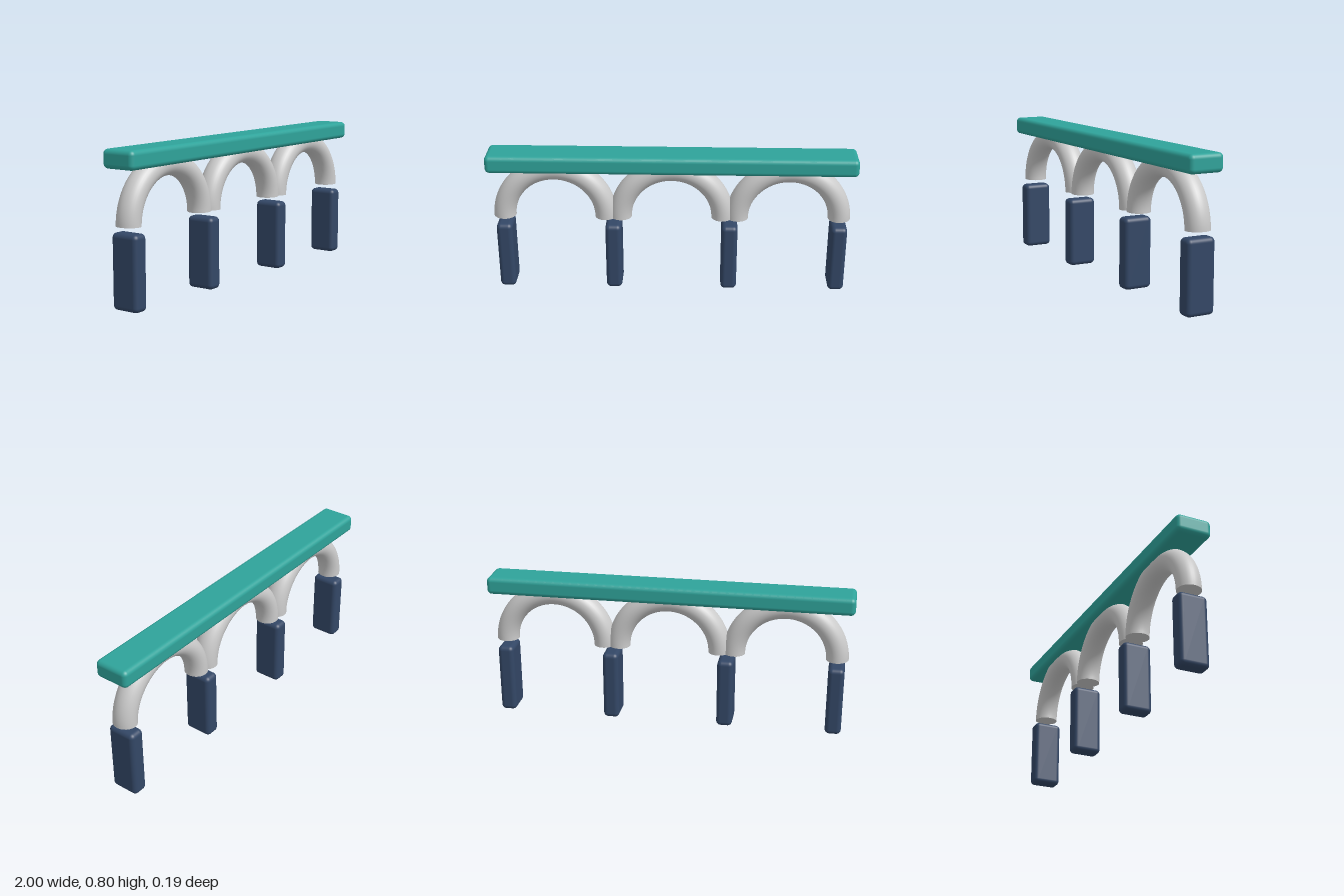
import * as THREE from 'three';
import { RoundedBoxGeometry } from 'three/addons/geometries/RoundedBoxGeometry.js';

const grey = new THREE.MeshStandardMaterial({ color: 0xcccccc });
const teal = new THREE.MeshStandardMaterial({ color: 0x2fa39a });
const navy = new THREE.MeshStandardMaterial({ color: 0x334766 });

const ARCH_R = 0.28, TUBE_R = 0.061, SPRING_Y = 0.42, STEPS = 48;

function addMesh(parent, name, geometry, material, x = 0, y = 0) {
  const mesh = new THREE.Mesh(geometry, material);
  mesh.name = name;
  mesh.position.set(x, y, 0);
  parent.add(mesh);
  return mesh;
}

// Half-circle tube with closed feet, slightly deeper than wide
function makeArch(x) {
  const arch = new THREE.Group();
  arch.name = 'arch';
  const points = [];
  for (let i = 0; i <= STEPS; i++) {
    const a = Math.PI * (1 - i / STEPS);
    points.push(new THREE.Vector3(ARCH_R * Math.cos(a), ARCH_R * Math.sin(a), 0));
  }
  const path = new THREE.CatmullRomCurve3(points);
  addMesh(arch, 'archTube', new THREE.TubeGeometry(path, 64, TUBE_R, 32), grey);
  for (const side of [-1, 1]) {
    const cap = new THREE.CircleGeometry(TUBE_R, 32);
    cap.rotateX(Math.PI / 2).rotateZ(side * Math.PI / STEPS / 2);
    addMesh(arch, 'archFoot', cap, grey, side * ARCH_R);
  }
  arch.position.set(x, SPRING_Y, 0);
  arch.scale.z = 1.06;
  return arch;
}

export function createModel() {
  const bridge = new THREE.Group();
  bridge.name = 'bridge';

  // Deck
  addMesh(bridge, 'deck', new RoundedBoxGeometry(2, 0.097, 0.193, 5, 0.025), teal, 0, 0.7515);

  // Arches
  for (const x of [-0.64, 0, 0.64]) bridge.add(makeArch(x));

  // Piers
  const pier = new RoundedBoxGeometry(0.088, 0.388, 0.16, 5, 0.025);
  for (const x of [-0.92, -0.32, 0.32, 0.92]) addMesh(bridge, 'pier', pier, navy, x, 0.194);

  return bridge;
}
